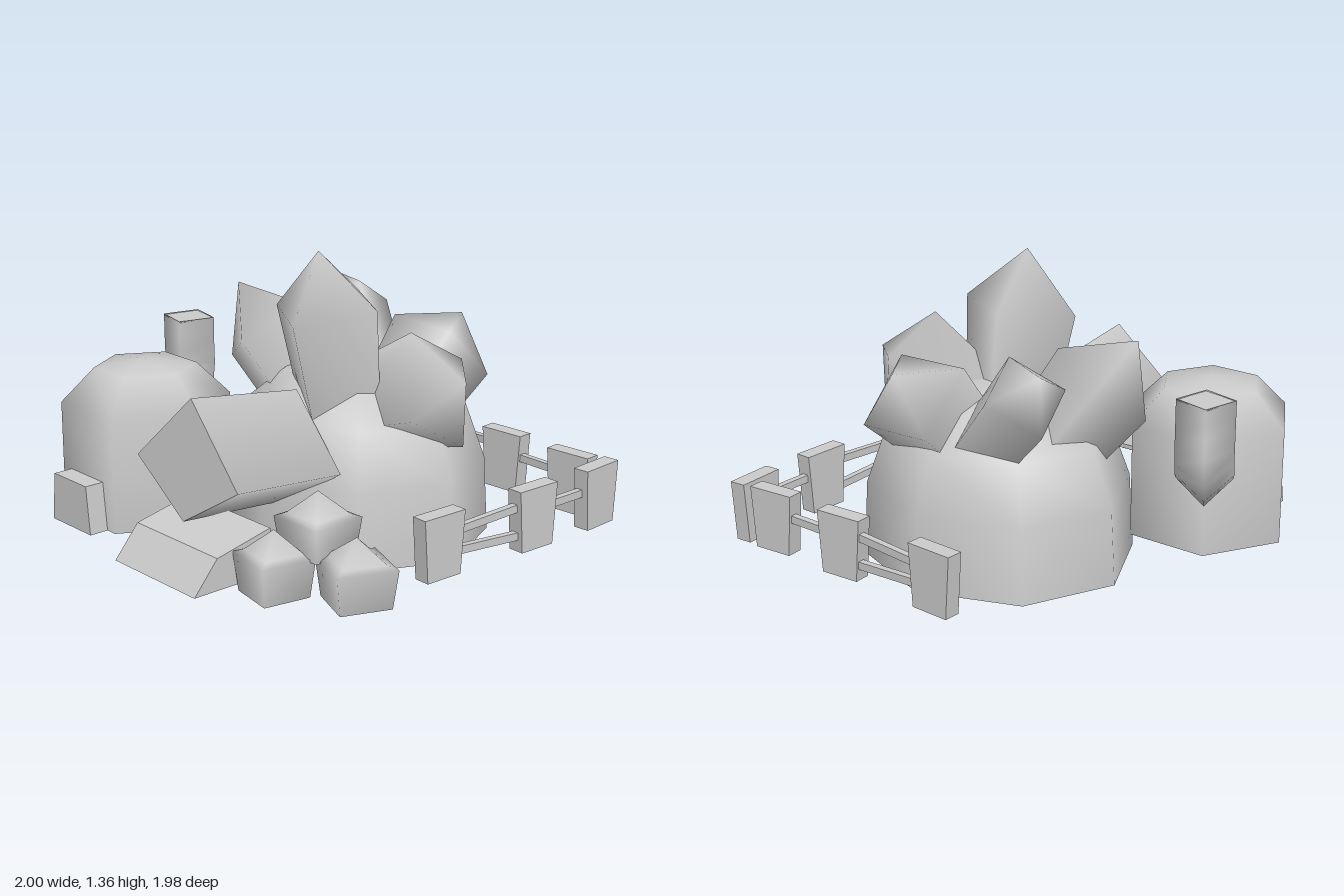
import * as THREE from 'three';

const grey = new THREE.MeshStandardMaterial({ color: 0xcccccc, side: THREE.DoubleSide });
const V = (x, y, z) => new THREE.Vector3(x, y, z);

function add(group, name, geometry) {
  const mesh = new THREE.Mesh(geometry, grey);
  mesh.name = name;
  group.add(mesh);
  return mesh;
}

// Smooth lathe whose pole normals point straight up
function lathe(points, sides) {
  const geo = new THREE.LatheGeometry(points.map(([r, y]) => new THREE.Vector2(r, y)), sides);
  const p = geo.attributes.position;
  for (let i = 0; i < p.count; i++) {
    if (Math.hypot(p.getX(i), p.getZ(i)) < 1e-5) geo.attributes.normal.setXYZ(i, 0, 1, 0);
  }
  return geo;
}

// Four-sided, outward-flaring prism with a pointed cap.
// 'shoulder' is the middle of the widest ring, 'axis' points to the tip.
function crystal(group, name, shoulder, axis, o) {
  const geo = lathe([[o.baseR, -o.length], [o.r, 0], [0, o.tip]], 4).rotateY(o.roll);
  const mesh = add(group, name, geo);
  mesh.position.copy(shoulder);
  mesh.quaternion.setFromUnitVectors(V(0, 1, 0), axis.normalize());
  return mesh;
}

// Box whose lower end is scaled by 'taper'
function post(w, h, d, taper) {
  const geo = new THREE.BoxGeometry(w, h, d);
  const p = geo.attributes.position;
  for (let i = 0; i < p.count; i++) if (p.getY(i) < 0) p.setX(i, p.getX(i) * taper);
  geo.computeVertexNormals();
  return geo;
}

function rail(group, a, b) {
  const mesh = add(group, 'fenceRail', new THREE.BoxGeometry(0.03, 0.035, a.distanceTo(b)));
  mesh.position.copy(a).add(b).multiplyScalar(0.5);
  mesh.lookAt(b);
}

export function createModel() {
  const model = new THREE.Group();
  model.name = 'crystalDomeYard';

  // Main dome, open below
  const dome = add(model, 'dome',
    lathe([[0.6, 0.02], [0.58, 0.36], [0.49, 0.61], [0.32, 0.75], [0, 0.81]], 8));
  dome.scale.set(0.945, 1, 1.05);
  dome.position.set(0.2, 0, 0.055);

  // Crystals growing out of the dome
  const size = { r: 0.25, baseR: 0.16, tip: 0.24, length: 0.75 };
  crystal(model, 'topCrystal', V(-0.04, 1.085, 0.12), V(-0.13, 1, -0.05),
    { ...size, roll: 0.26, r: 0.26, baseR: 0.18, tip: 0.255 });
  crystal(model, 'frontCrystal', V(0.18, 0.775, 0.58), V(0.06, 0.36, 0.92),
    { ...size, roll: 0.4, tip: 0.17, length: 0.6 }).scale.set(0.84, 1, 1.13);
  crystal(model, 'leftCrystal', V(0.6, 0.82, 0.19), V(0.68, 0.7, 0.03),
    { ...size, roll: 0.785, tip: 0.18 });
  crystal(model, 'backLeftCrystal', V(0.54, 0.92, -0.36), V(0.27, 0.7, -0.67),
    { ...size, roll: 1.187, r: 0.19, tip: 0.17 });
  crystal(model, 'backCrystal', V(0.08, 0.86, -0.41), V(-0.2, 0.79, -0.55),
    { ...size, roll: 0.36, r: 0.24, tip: 0.26, length: 0.98 });

  // Hut on the right: a four-sided beam lying on its edge, tilted down to the dome
  const hut = new THREE.CylinderGeometry(0.32, 0.3, 0.58, 4).rotateZ(Math.PI / 2);
  const hp = hut.attributes.position;
  for (let i = 0; i < hp.count; i++) if (hp.getY(i) < -0.1) hp.setY(i, hp.getY(i) * 0.65);
  const beam = add(model, 'hut', hut);
  beam.position.set(-0.51, 0.475, 0.1);
  beam.rotation.z = -0.1;
  beam.scale.z = 1.05;

  // Sloping ramp at the hut entrance, hollow below
  const shape = (pts) => new THREE.Shape(pts.map(([x, y]) => new THREE.Vector2(x, y)));
  const ramp = new THREE.Group();
  ramp.name = 'hutRamp';
  model.add(ramp);
  add(ramp, 'rampTop', new THREE.ExtrudeGeometry(
    shape([[-1, 0.1], [-0.88, 0.24], [-0.6, 0.3], [-0.6, 0.28], [-0.87, 0.22], [-0.98, 0.1]]),
    { depth: 0.54, bevelEnabled: false })).position.z = -0.14;
  for (const z of [-0.14, 0.4]) {
    add(ramp, 'rampSide', new THREE.ShapeGeometry(
      shape([[-1, 0.1], [-0.6, 0.1], [-0.6, 0.3], [-0.88, 0.24]]))).position.z = z;
  }

  // Six-sided tank with a domed lid
  const tank = add(model, 'tank',
    lathe([[0.38, 0.09], [0.38, 0.61], [0.23, 0.76], [0, 0.79]], 6));
  tank.position.set(-0.48, 0, -0.6);
  const hatch = add(model, 'tankHatch', post(0.24, 0.22, 0.14, 1.2));
  hatch.position.set(-0.83, 0.2, -0.61);
  hatch.rotation.y = Math.PI / 2;

  // Bent square pipe behind the tank
  const path = new THREE.CatmullRomCurve3([
    V(-0.25, 0.46, -0.72), V(-0.1, 0.48, -0.82), V(-0.03, 0.6, -0.86),
    V(-0.03, 0.74, -0.86), V(-0.03, 0.86, -0.86)]);
  add(model, 'tankPipe', new THREE.TubeGeometry(path, 8, 0.125, 4));
  const lid = add(model, 'pipeLid', new THREE.CircleGeometry(0.125, 4));
  lid.position.set(-0.03, 0.855, -0.86);
  lid.rotation.set(-Math.PI / 2, 0, 0.6);

  // Stack of flared tubs, each heaped to a point: x, rim y, z, radius, height, turn
  const tubs = [
    [-0.7, 0.25, 0.54, 0.175, 0.17, 0.6],
    [-0.51, 0.25, 0.825, 0.185, 0.17, 0.4],
    [-0.52, 0.39, 0.605, 0.18, 0.15, 0.8]];
  for (const [x, y, z, r, h, turn] of tubs) {
    const tub = add(model, 'heapedTub',
      lathe([[r * 0.86, -h], [r, 0], [r * 0.72, 0.015], [0, 0.11]], 4));
    tub.position.set(x, y, z);
    tub.rotation.y = turn;
  }

  // Fence: posts around the front-left corner
  const fence = new THREE.Group();
  fence.name = 'fence';
  model.add(fence);
  const posts = [
    [-0.09, 0.87, -0.04], [0.45, 0.9, -0.04], [0.86, 0.905, 0.06],
    [0.915, 0.72, 1.64], [0.925, 0.31, 1.63], [0.955, -0.22, 1.52]];
  for (const [x, z, turn] of posts) {
    const p = add(fence, 'fencePost', post(0.225, 0.28, 0.075, 0.82));
    p.position.set(x, 0.23, z);
    p.rotation.y = turn;
  }
  // Two rails in the long gaps, one in the gaps beside the corner
  const at = (i, y) => V(posts[i][0], y, posts[i][1]);
  for (const [i, j] of [[0, 1], [5, 4]]) {
    rail(fence, at(i, 0.27), at(j, 0.295));
    rail(fence, at(i, 0.19), at(j, 0.155));
  }
  for (const [i, j] of [[1, 2], [4, 3]]) rail(fence, at(i, 0.26), at(j, 0.26));

  return model;
}
